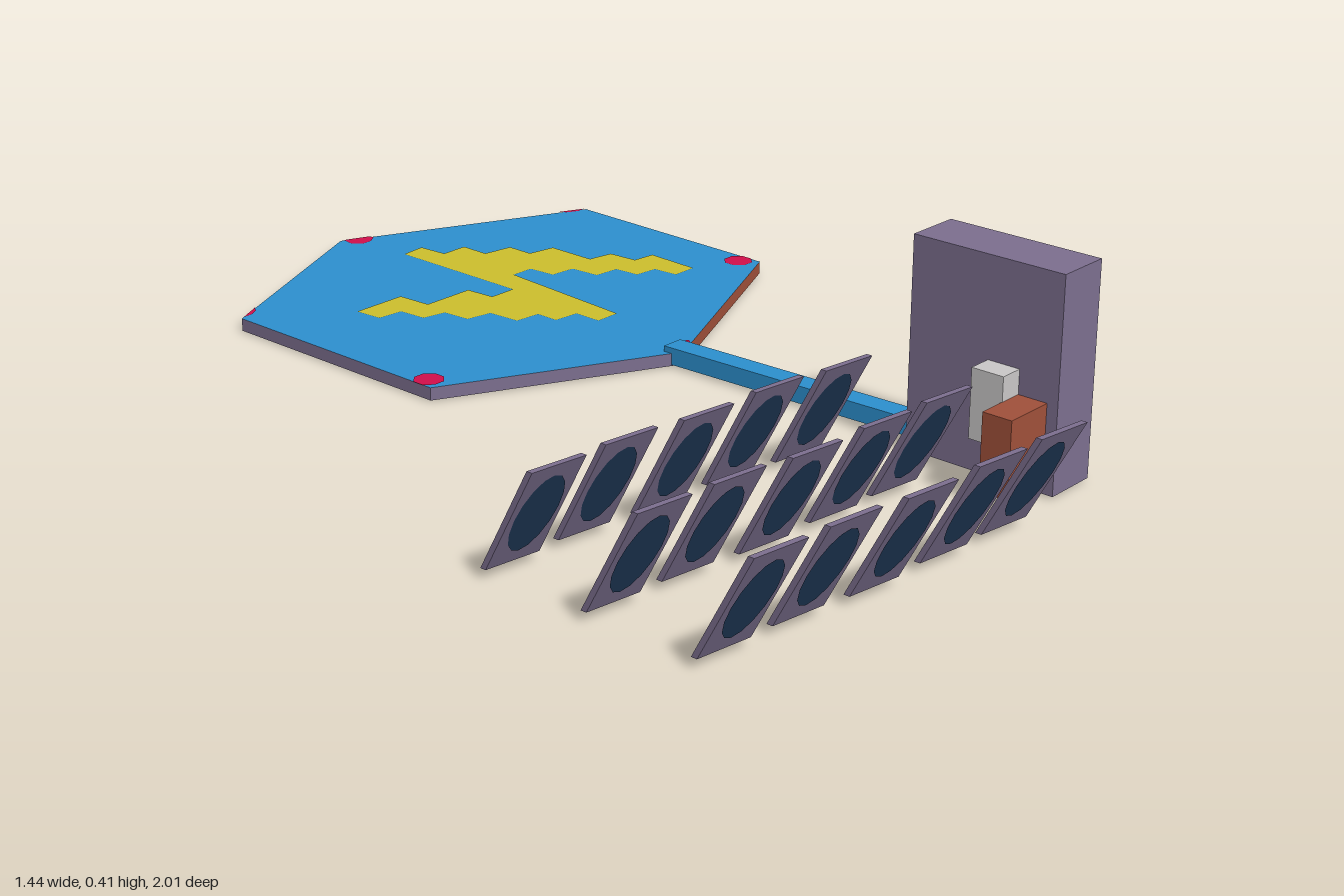
import * as THREE from 'three';

const mat = (name, color, extra = {}) => Object.assign(new THREE.MeshStandardMaterial({ color, ...extra }), { name });

export function createModel() {
  const model = new THREE.Group();
  model.name = 'fieldPowerStation';
  const blue = mat('blue', 0x2c8fcd);
  const purple = mat('purple', 0x7b6e8e);
  const yellow = mat('yellow', 0xcbbd2d);
  const red = mat('red', 0xd00f4a);
  const brown = mat('brown', 0x9f503a);
  const navy = mat('navy', 0x203a5a);
  const grey = mat('light grey', 0xc8c6c6);
  const green = mat('green', 0x1f8a5c);

  const add = (name, geometry, material, parent = model) => {
    const mesh = new THREE.Mesh(geometry, material);
    mesh.name = name;
    parent.add(mesh);
    return mesh;
  };

  // Box given by its minimum and maximum corners
  const box = (name, [x0, y0, z0], [x1, y1, z1], material) => {
    const g = new THREE.BoxGeometry(x1 - x0, y1 - y0, z1 - z0);
    g.translate((x0 + x1) / 2, (y0 + y1) / 2, (z0 + z1) / 2);
    return add(name, g, material);
  };

  // Horizontal polygon from [x, z] points, facing up or down
  const flat = (name, points, y, material, up = true) => {
    const shape = new THREE.Shape(points.map(([x, z]) => new THREE.Vector2(x, up ? -z : z)));
    const g = new THREE.ShapeGeometry(shape).rotateX(up ? -Math.PI / 2 : Math.PI / 2);
    g.translate(0, y, 0);
    return add(name, g, material);
  };

  const octagon = (cx, cz, r) => Array.from({ length: 8 }, (_, i) => {
    const a = (i + 0.5) * Math.PI / 4;
    return [cx + r * Math.cos(a), cz + r * Math.sin(a)];
  });

  // Hexagonal landing pad: top, underside and one wall per side
  const base = [[0.2, -1], [0.72, -0.755], [0.705, -0.235], [0.2, -0.01], [-0.26, -0.24], [-0.26, -0.785]];
  const top = base.map(([x, z], i) => (i === 0 ? [0.195, -0.995] : i === 1 ? [0.715, -0.75] : [x, z]));
  const padTop = 0.03, padBottom = 0.004;
  flat('padTop', top, padTop, blue);
  flat('padUnderside', base, padBottom, brown, false);
  base.forEach(([x0, z0], i) => {
    const j = (i + 1) % 6;
    const [x1, z1] = base[j], [tx0, tz0] = top[i], [tx1, tz1] = top[j];
    const g = new THREE.BufferGeometry();
    g.setAttribute('position', new THREE.Float32BufferAttribute([
      x0, padBottom, z0, tx0, padTop, tz0, tx1, padTop, tz1, x1, padBottom, z1], 3));
    g.setIndex([0, 1, 2, 0, 2, 3]);
    g.computeVertexNormals();
    add('padWall', g, i === 2 ? brown : purple);
  });

  // Stepped zigzag painted on the pad
  flat('padZigzag', [
    [-0.08, -0.64], [0.04, -0.64], [0.045, -0.565], [0.16, -0.565], [0.165, -0.5], [0.225, -0.5],
    [0.225, -0.825], [0.28, -0.83], [0.285, -0.765], [0.345, -0.765], [0.345, -0.7], [0.41, -0.69],
    [0.41, -0.63], [0.47, -0.62], [0.47, -0.51], [0.525, -0.5], [0.53, -0.435], [0.58, -0.43],
    [0.575, -0.31], [0.52, -0.31], [0.515, -0.365], [0.465, -0.37], [0.46, -0.425], [0.405, -0.43],
    [0.4, -0.495], [0.345, -0.5], [0.34, -0.56], [0.29, -0.56], [0.265, -0.245], [0.21, -0.245],
    [0.21, -0.305], [0.155, -0.31], [0.155, -0.36], [0.1, -0.365], [0.095, -0.435], [0.04, -0.445],
    [0.035, -0.505], [-0.015, -0.515], [-0.02, -0.575], [-0.075, -0.58]], padTop + 0.002, yellow);

  // Corner lights, cropped where the pad ends
  [[-0.235, -0.27], [0.675, -0.27]].forEach(([x, z]) =>
    flat('cornerLight', octagon(x, z, 0.031), padTop + 0.002, red));
  [[[0.2, -0.99], [0.255, -0.967], [0.255, -0.955], [0.235, -0.942], [0.212, -0.942], [0.195, -0.96]],
    [[-0.255, -0.785], [-0.205, -0.81], [-0.215, -0.795], [-0.235, -0.785]],
    [[0.655, -0.778], [0.71, -0.752], [0.69, -0.75], [0.665, -0.763]],
    [[0.195, -0.055], [0.235, -0.055], [0.25, -0.04], [0.245, -0.032], [0.205, -0.014], [0.19, -0.02]],
  ].forEach((points) => flat('cornerLight', points, padTop + 0.002, red));

  // Underside dots
  [[0.23, red], [0.05, yellow], [-0.13, green]].forEach(([x, m], i) =>
    flat('undersideLight', octagon(x, -0.81 + 0.01 * i, i < 2 ? 0.03 : 0.018), padBottom - 0.002, m, false));

  // Connecting arm, running slightly askew and rising toward the fan box
  const arm = new THREE.BoxGeometry(0.047, 0.035, 0.6);
  const p = arm.attributes.position;
  for (let i = 0; i < p.count; i++) {
    const t = p.getZ(i) / 0.6 + 0.5;
    p.setXYZ(i, p.getX(i) + 0.2 + 0.017 * t, p.getY(i) + 0.024 + 0.005 * t, p.getZ(i) + 0.26);
  }
  arm.computeVertexNormals();
  add('arm', arm, blue);

  // Fan box with four fans on its +x face
  box('fanBox', [0.155, 0.007, 0.558], [0.265, 0.415, 0.872], purple);
  for (const y of [0.32, 0.11]) {
    for (const z of [0.803, 0.643]) {
      const fan = new THREE.Group();
      fan.name = 'fan';
      fan.position.set(0.266, y, z);
      fan.rotation.y = Math.PI / 2;
      model.add(fan);
      add('fanDisc', new THREE.CircleGeometry(1, 12).scale(0.063, 0.078, 1), navy, fan);
      add('fanBlade', new THREE.BoxGeometry(0.096, 0.02, 0.004), blue, fan).position.set(0, 0.005, 0.001);
      add('fanBlade', new THREE.BoxGeometry(0.018, 0.086, 0.005), blue, fan).position.set(0, 0.005, 0.001);
      add('fanHub', new THREE.BoxGeometry(0.014, 0.018, 0.006), grey, fan).position.set(0, 0.005, 0.002);
    }
  }

  // Control cabinet and the small terminal behind it
  box('cabinet', [0.05, 0.028, 0.79], [0.156, 0.176, 0.85], brown);
  box('terminal', [0.107, 0.09, 0.725], [0.156, 0.223, 0.791], grey);
  box('terminalScreen', [0.118, 0.15, 0.723], [0.148, 0.2, 0.728], navy);

  // Solar panels: leaning, slightly skewed plates in three rows of five
  const lean = new THREE.Matrix4().makeBasis(
    new THREE.Vector3(1, 0, 0.13), new THREE.Vector3(0, 1, 0.53), new THREE.Vector3(0, 0, 1));
  const plate = new THREE.BoxGeometry(0.11, 0.203, 0.012).applyMatrix4(lean);
  const oval = new THREE.CircleGeometry(1, 16).scale(0.045, 0.079, 1).translate(0, 0, 0.0075).applyMatrix4(lean);
  const stripe = new THREE.ShapeGeometry(new THREE.Shape([
    [-0.055, -0.1], [-0.046, -0.1], [0.055, 0.083], [0.055, 0.1], [0.046, 0.1], [-0.055, -0.083],
  ].map(([x, y]) => new THREE.Vector2(x, y)))).rotateY(Math.PI).translate(0, 0, -0.0075).applyMatrix4(lean);
  const plateColours = [purple, purple, purple, purple, purple, blue];
  const columns = [-0.668, -0.508, -0.348, -0.176, -0.02];
  const rows = [
    [0.358, 0.368, 0.395, 0.405, 0.432],
    [0.58, 0.596, 0.623, 0.633, 0.644],
    [0.808, 0.824, 0.85, 0.861, 0.872]];
  rows.forEach((row) => row.forEach((z, i) => {
    const panel = new THREE.Group();
    panel.name = 'solarPanel';
    panel.position.set(columns[i], 0.1215, z + 0.067);
    model.add(panel);
    add('panelPlate', plate, plateColours, panel);
    add('panelBackOval', oval, navy, panel);
    add('panelStripe', stripe, grey, panel);
  }));

  return model;
}
